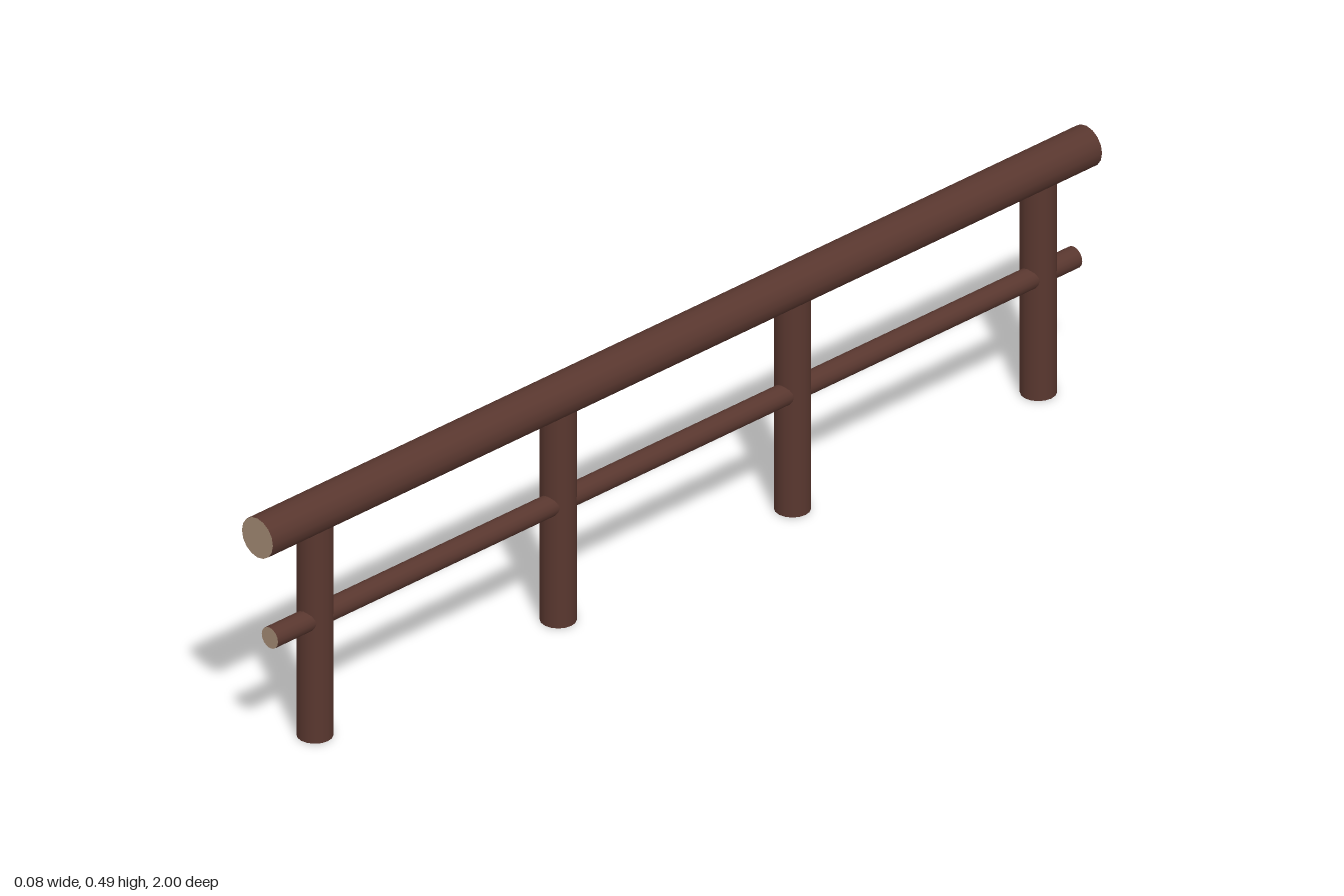
import * as THREE from 'three';

export function createModel() {
  const flat = (name, color) => {
    const m = new THREE.MeshStandardMaterial({ color });
    m.name = name;
    return m;
  };
  const bark = flat('darkBrownBark', 0x59372f);
  const frontCut = flat('tanCutWood', 0xa58b75);
  const backCut = flat('mauveCutWood', 0x80575e);
  const footCut = flat('greyCutWood', 0x766a60);

  const model = new THREE.Group();
  model.name = 'logFence';

  // Horizontal log along z, with differently coloured cut ends
  const addRail = (name, radius, length, y) => {
    const geometry = new THREE.CylinderGeometry(radius, radius, length, 16).rotateX(Math.PI / 2);
    const rail = new THREE.Mesh(geometry, [bark, frontCut, backCut]);
    rail.name = name;
    rail.position.y = y;
    model.add(rail);
  };
  addRail('topRail', 0.039, 2, 0.452);
  addRail('lowerRail', 0.0205, 1.94, 0.24);

  // Upright posts, set slightly off the rail axis
  const postHeight = 0.43;
  const postGeometry = new THREE.CylinderGeometry(0.0325, 0.0325, postHeight, 16);
  [0.857, 0.27, -0.295, -0.888].forEach((z, i) => {
    const post = new THREE.Mesh(postGeometry, [bark, footCut, footCut]);
    post.name = `post${i + 1}`;
    post.position.set(-0.0045, postHeight / 2, z);
    model.add(post);
  });

  return model;
}
